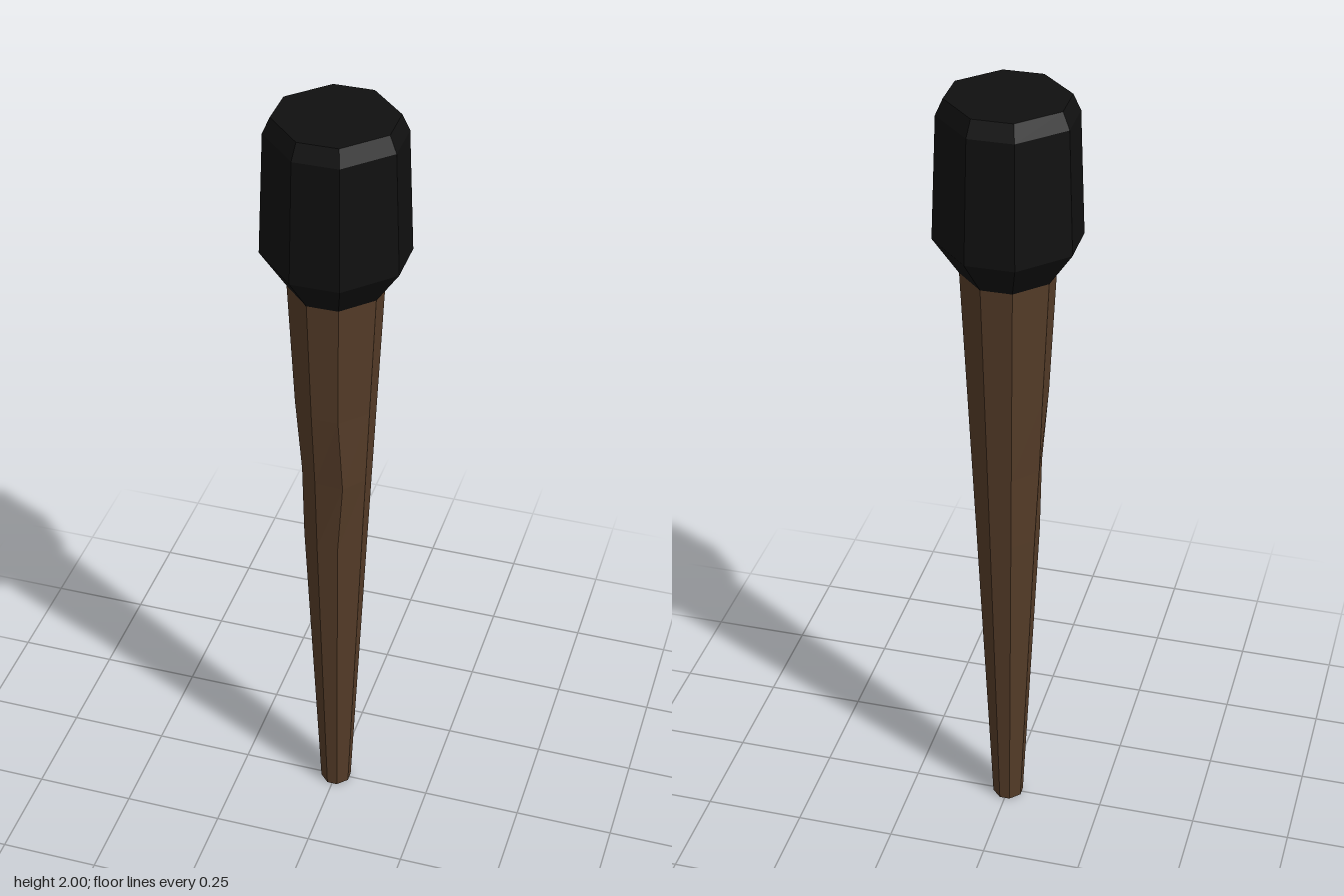
import * as THREE from 'three';

// Octagonal section with flats facing the axes; r is the distance to those flats
function octagon(r, y) {
  const c = r * 0.355;
  return [[r, c], [c, r], [-c, r], [-r, c], [-r, -c], [-c, -r], [c, -r], [r, -c]]
    .map(([x, z]) => [x, y, z]);
}

// Closed, faceted solid joining a stack of sections from bottom to top
function loft(rings) {
  const n = rings[0].length, index = [];
  for (let k = 0; k < rings.length - 1; k++) {
    for (let i = 0; i < n; i++) {
      const a = k * n + i, b = k * n + (i + 1) % n;
      index.push(a, a + n, b, b, a + n, b + n);
    }
  }
  const top = (rings.length - 1) * n;
  for (let i = 1; i < n - 1; i++) {
    index.push(0, i, i + 1, top, top + i + 1, top + i);
  }
  const g = new THREE.BufferGeometry();
  g.setAttribute('position', new THREE.Float32BufferAttribute(rings.flat(2), 3));
  g.setIndex(index);
  const flat = g.toNonIndexed();
  flat.computeVertexNormals();
  return flat;
}

function part(name, color, rings) {
  const mesh = new THREE.Mesh(loft(rings), new THREE.MeshStandardMaterial({ color, flatShading: true }));
  mesh.name = name;
  return mesh;
}

export function createModel() {
  const group = new THREE.Group();
  group.name = 'torch';

  // Tapered wooden handle, with slight carving marks halfway up
  const middle = octagon(0.083, 1.04);
  middle[1][0] += 0.012;
  middle[3][0] += 0.006;
  middle[2][2] -= 0.005;
  middle[4][2] += 0.008;
  group.add(part('handle', 0x553c28, [
    octagon(0.037, 0), octagon(0.074, 0.84), middle, octagon(0.092, 1.24), octagon(0.107, 1.57),
  ]));

  // Charred wrapped head
  group.add(part('head', 0x101010, [
    octagon(0.107, 1.565), octagon(0.165, 1.655), octagon(0.153, 1.96), octagon(0.136, 2),
  ]));
  return group;
}
